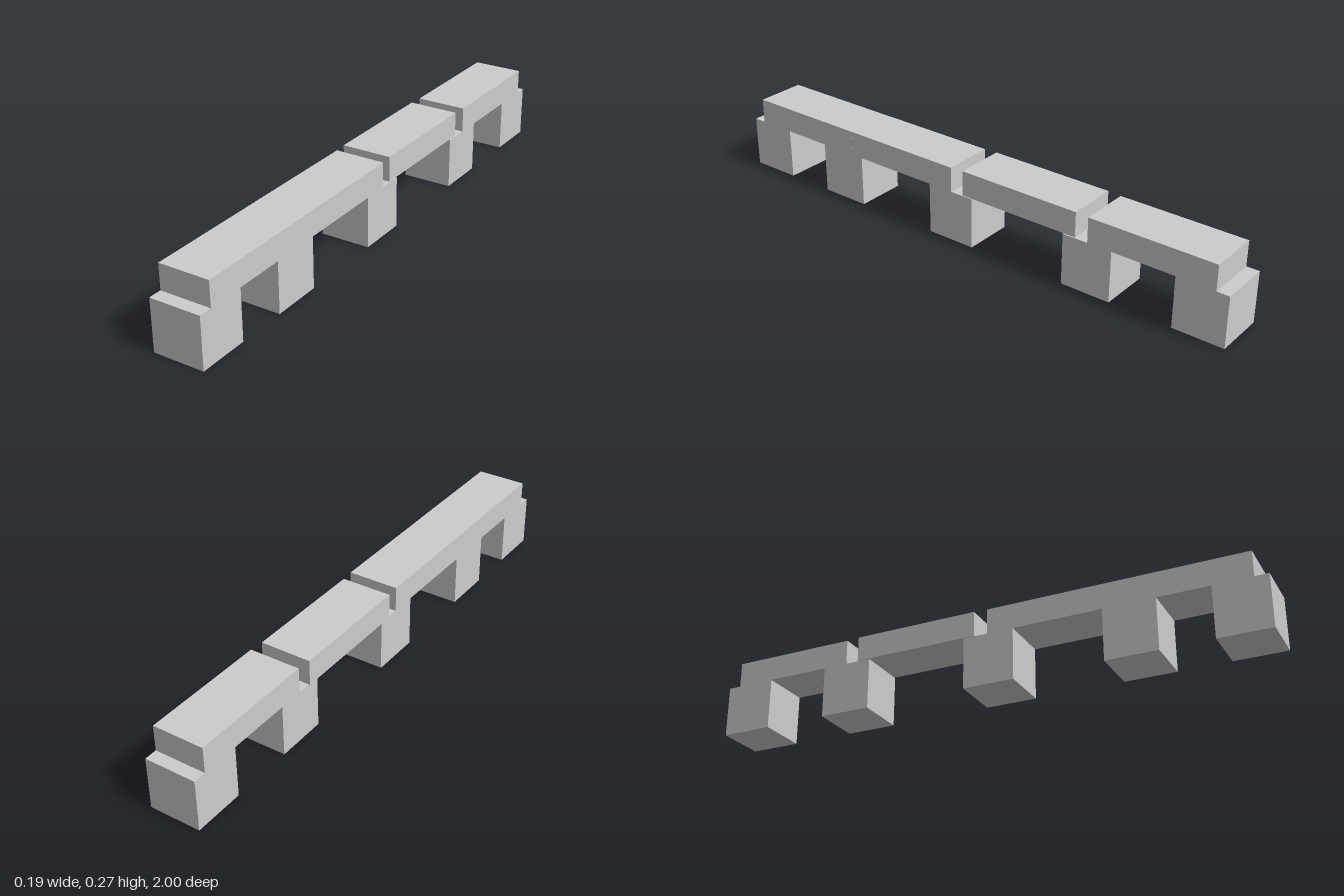
import * as THREE from 'three';

export function createModel() {
  const model = new THREE.Group();
  const stone = new THREE.MeshStandardMaterial({ color: 0xcccccc });
  const width = 0.182, postHeight = 0.183, beamHeight = 0.09;

  // One block spanning z0..z1 with its underside at y
  function block(name, x, y, height, z0, z1) {
    const mesh = new THREE.Mesh(new THREE.BoxGeometry(width, height, z1 - z0), stone);
    mesh.name = name;
    mesh.position.set(x, y + height / 2, (z0 + z1) / 2);
    model.add(mesh);
  }

  // Five square posts
  [0.909, 0.547, 0.05, -0.5, -0.909].forEach((z, i) =>
    block(`post${i + 1}`, 0, 0, postHeight, z - 0.091, z + 0.091));

  // Four beams resting on the posts; the first two butt together
  [
    [0.0005, 0.5, 0.953],
    [0.0, 0.047, 0.5],
    [-0.004, -0.453, 0.0],
    [0.0, -0.955, -0.502],
  ].forEach(([x, z0, z1], i) =>
    block(`beam${i + 1}`, x, postHeight, beamHeight, z0, z1));

  return model;
}
